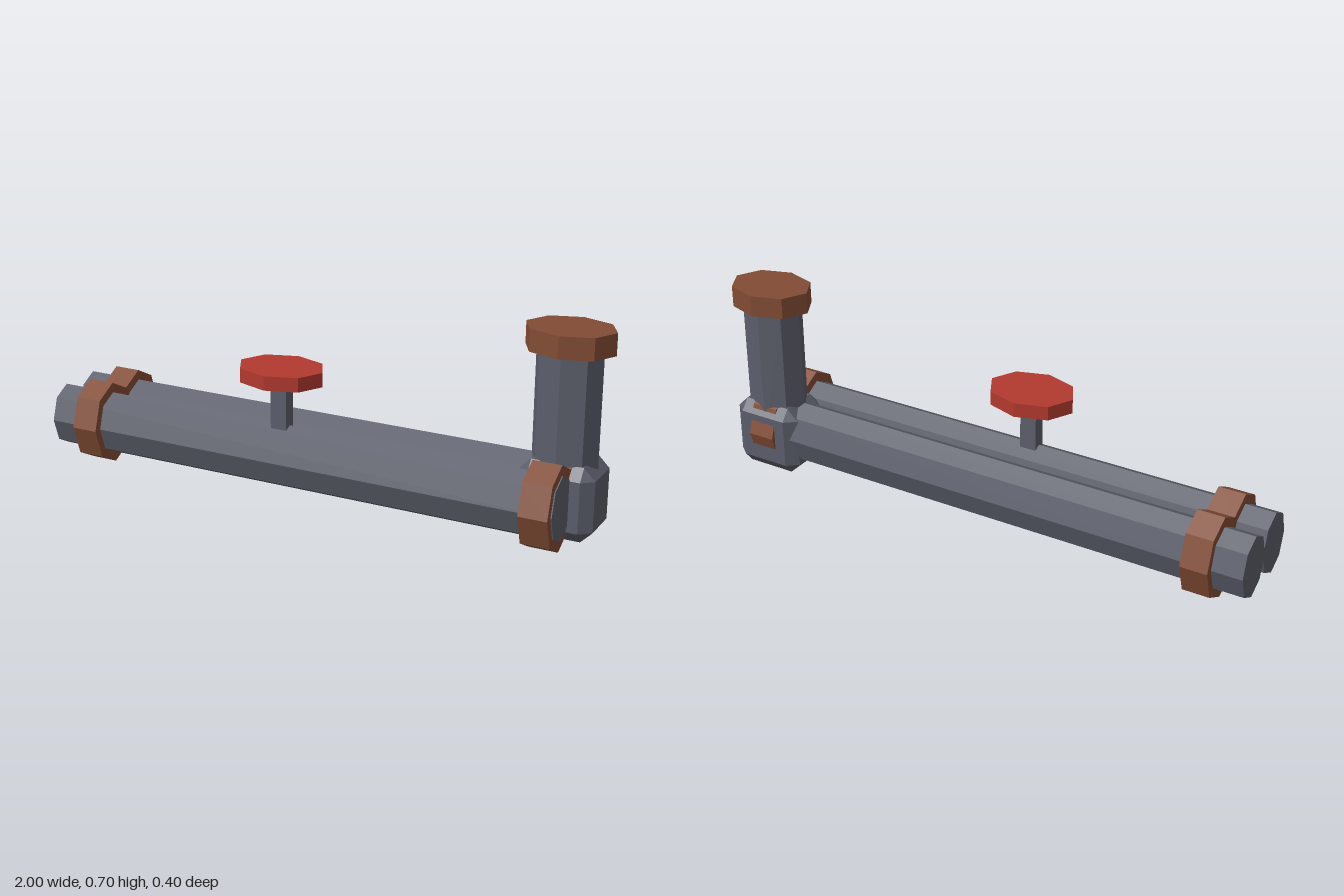
import * as THREE from 'three';
import { ConvexGeometry } from 'three/addons/geometries/ConvexGeometry.js';

const DEPTH = 0.78; // every section is squashed along z

function material(name, color) {
  const m = new THREE.MeshStandardMaterial({ color, flatShading: true });
  m.name = name;
  return m;
}

export function createModel() {
  const model = new THREE.Group();
  model.name = 'pipework';
  const steel = material('steelGrey', 0x5b5e6a);
  const rust = material('rustBrown', 0x824c34);
  const red = material('valveRed', 0xb23a2e);

  function add(name, geometry, mat, x, y, z) {
    const mesh = new THREE.Mesh(geometry, mat);
    mesh.name = name;
    mesh.position.set(x, y, z);
    model.add(mesh);
  }

  // Octagonal drum with corners on its axes
  const drum = (r, length) => new THREE.CylinderGeometry(r, r, length, 8);

  function along(name, r, x0, x1, z, mat) {
    const g = drum(r, x1 - x0).rotateZ(Math.PI / 2).scale(1, 1, DEPTH);
    add(name, g, mat, (x0 + x1) / 2, 0.15, z);
  }

  function upright(name, r, y0, y1, x, z, mat) {
    add(name, drum(r, y1 - y0).scale(1, 1, DEPTH), mat, x, (y0 + y1) / 2, z);
  }

  // Box with all edges cut off
  function chamferedBox(hx, hy, hz, c, cz) {
    const points = [];
    for (const sx of [-1, 1]) for (const sy of [-1, 1]) for (const sz of [-1, 1]) {
      points.push(
        new THREE.Vector3(sx * hx, sy * (hy - c), sz * (hz - cz)),
        new THREE.Vector3(sx * (hx - c), sy * hy, sz * (hz - cz)),
        new THREE.Vector3(sx * (hx - c), sy * (hy - c), sz * hz));
    }
    return new ConvexGeometry(points);
  }

  // Two parallel pipes with a flange near each end
  for (const [side, z] of [['front', 0.08], ['back', -0.083]]) {
    along(side + 'Pipe', 0.113, -1, 0.9, z, steel);
    along(side + 'LeftFlange', 0.149, -0.893, -0.797, z, rust);
    along(side + 'RightFlange', 0.149, 0.797, 0.896, z, rust);
  }

  // Elbow joint, riser and its cap
  add('elbow', chamferedBox(0.129, 0.128, 0.101, 0.04, 0.033), steel, 0.846, 0.135, -0.083);
  upright('riser', 0.113, 0.15, 0.65, 0.846, -0.083, steel);
  upright('riserCap', 0.151, 0.624, 0.699, 0.846, -0.083, rust);

  // Valve stem and handwheel
  add('valveStem', new THREE.BoxGeometry(0.06, 0.23, 0.048), steel, -0.105, 0.315, 0.08);
  upright('handwheel', 0.156, 0.419, 0.469, -0.105, 0.08, red);

  return model;
}
